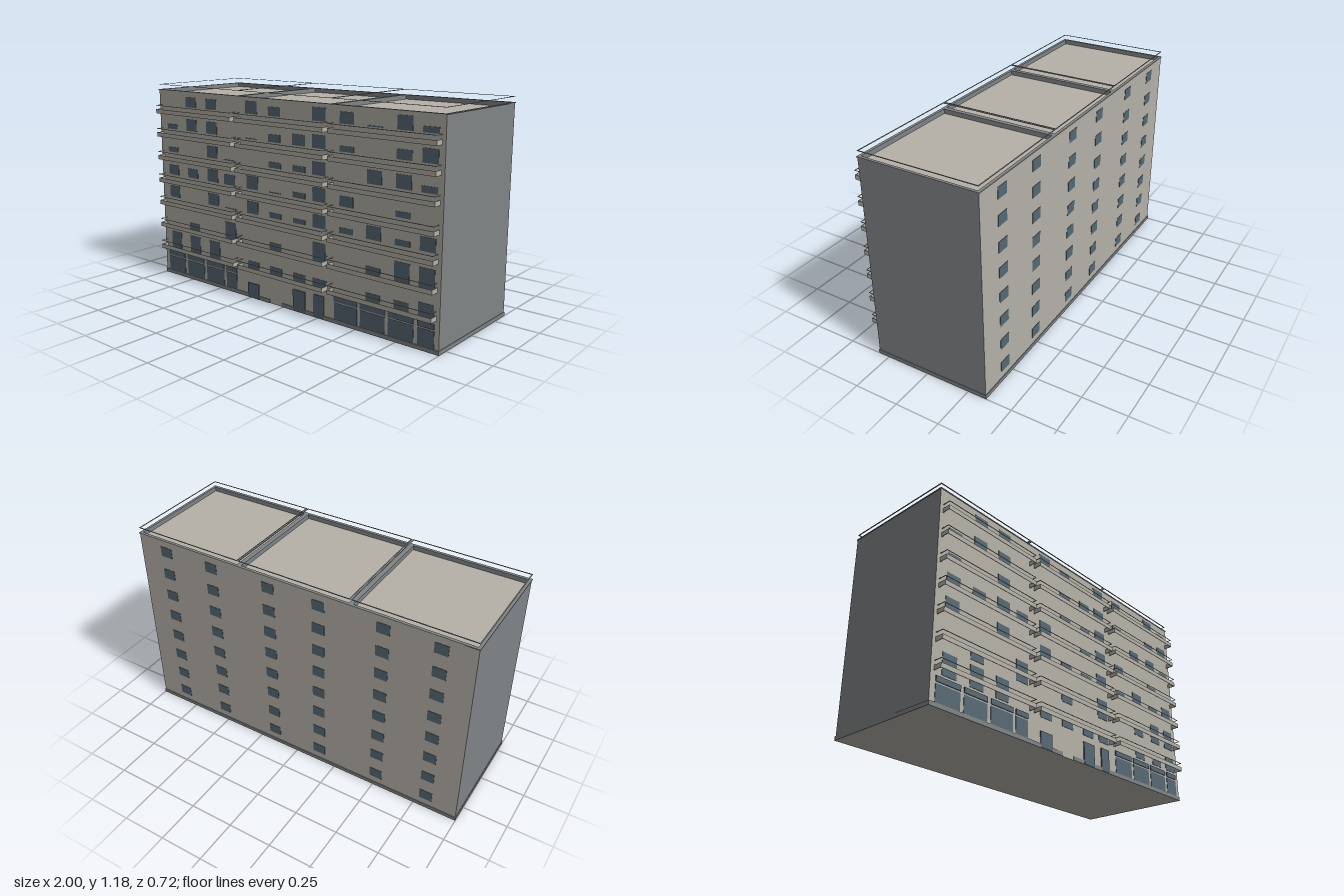
import * as THREE from 'three';

const mat = (name, color) => {
  const m = new THREE.MeshStandardMaterial({ color });
  m.name = name;
  return m;
};

export function createModel() {
  const model = new THREE.Group();
  model.name = 'apartmentBlock';
  const wall = mat('wall beige', 0xb5b1a8);
  const grey = mat('side grey', 0x808486);
  const glass = mat('window blue', 0x566873);

  // box given by its limits on each axis
  const box = (parent, name, material, x0, x1, y0, y1, z0, z1) => {
    const mesh = new THREE.Mesh(new THREE.BoxGeometry(x1 - x0, y1 - y0, z1 - z0), material);
    mesh.position.set((x0 + x1) / 2, (y0 + y1) / 2, (z0 + z1) / 2);
    mesh.name = name;
    parent.add(mesh);
    return mesh;
  };
  const group = (name) => {
    const g = new THREE.Group();
    g.name = name;
    model.add(g);
    return g;
  };

  const W = 0.997, FRONT = 0.3125, BACK = -0.3525, ROOF = 1.125, TOP = 1.145;

  // main block: grey gable ends, beige elsewhere
  box(model, 'body', [grey, grey, wall, wall, wall, wall], -W, W, 0, ROOF, BACK, FRONT);

  // parapet walls, with grey inner faces, and a thin cap
  const parapet = group('parapet');
  const p = 0.0125;
  box(parapet, 'frontParapet', [grey, grey, grey, grey, wall, grey], -W, W, ROOF, TOP, FRONT - p, FRONT);
  box(parapet, 'backParapet', [grey, grey, grey, grey, grey, wall], -W, W, ROOF, TOP, BACK, BACK + p);
  box(parapet, 'frontCap', [grey, grey, grey, grey, wall, grey], -1, 1, TOP, 1.15, FRONT - p, FRONT + 0.004);
  box(parapet, 'backCap', [grey, grey, grey, grey, grey, wall], -1, 1, TOP, 1.15, BACK - 0.004, BACK + p);
  for (const [x0, x1] of [[-1, -0.985], [-0.345, -0.32], [0.32, 0.345], [0.985, 1]]) {
    box(parapet, 'crossParapet', grey, Math.max(x0, -W), Math.min(x1, W), ROOF, TOP, BACK + p, FRONT - p);
    box(parapet, 'crossCap', grey, x0, x1, TOP, 1.15, BACK + p, FRONT - p);
  }

  // flat roof rails floating over the parapet of each section
  const rails = group('roofRails');
  const r = 0.006, ry = 1.178;
  for (const [x0, x1] of [[-W, -0.335], [-0.33, 0.33], [0.335, W]]) {
    for (const z of [BACK, FRONT - r]) box(rails, 'roofRail', grey, x0, x1, ry, ry + 0.002, z, z + r);
    for (const x of [x0, x1 - r]) box(rails, 'roofRail', grey, x, x + r, ry, ry + 0.002, BACK + r, FRONT - r);
  }

  // plinth, open at the middle entrance
  const plinth = group('plinth');
  box(plinth, 'backPlinth', grey, -1, 1, 0, 0.022, BACK - 0.004, BACK);
  box(plinth, 'frontPlinth', grey, -1, -0.1, 0, 0.022, FRONT, FRONT + 0.004);
  box(plinth, 'frontPlinth', grey, -0.01, 1, 0, 0.022, FRONT, FRONT + 0.004);
  for (const s of [-1, 1]) {
    box(plinth, 'sidePlinth', grey, Math.min(s * W, s), Math.max(s * W, s), 0, 0.022, BACK, FRONT);
  }

  // balconies: open-bottomed parapet ring with a thin rail above
  const balconies = group('balconies');
  const t = 0.003, OUT = 0.36;
  for (let floor = 0; floor < 7; floor++) {
    const y = 0.17 + 0.14 * floor;
    for (const cx of [-0.663, 0, 0.663]) {
      const a = cx - 0.315, b = cx + 0.315;
      for (const [name, y0, y1] of [['balconyPanel', y, y + 0.025], ['balconyRail', y + 0.046, y + 0.049]]) {
        box(balconies, name, wall, a, b, y0, y1, OUT - t, OUT);
        box(balconies, name, wall, a, a + t, y0, y1, FRONT, OUT - t);
        box(balconies, name, wall, b - t, b, y0, y1, FRONT, OUT - t);
      }
    }
  }

  // front windows: heights above the rail in hundredths, -1 for none, lowest floor first
  const columns = [-0.888, -0.717, -0.545, -0.406, -0.225, -0.053, 0.12, 0.257, 0.436, 0.607, 0.778, 0.92];
  const heights = [
    [6, 6, 6, -1, 0, 0, 0, 0, -1, 0, 0, 2.5],
    [-1, 0, -1, 6, -1, 0, -1, 6, -1, 0, 6, 6],
    [7, -1, 7, 0.5, 7, 3, 2.5, 7, 3, 7, 3, 7],
    [6, 5.5, 7.5, 6, 7.5, 0.6, 3, 7.5, 5.5, -1, 3, -1],
    [3, -1, 7, 0.7, -1, 3.3, 3.3, 7, -1, 7, 7, 3.3],
    [3, 7, 7, -1, 0.6, 4.3, 6, 7, 3, -1, 5, 7],
    [-1, 6, 6, -1, 7, 5, -1, 7, 6, 0.6, 7, 3],
  ];
  const frontWindows = group('frontWindows');
  const pane = (x0, x1, y0, y1) => box(frontWindows, 'frontWindow', glass, x0, x1, y0, y1, FRONT, FRONT + 0.002);
  heights.forEach((row, floor) => row.forEach((h, i) => {
    if (h < 0) return;
    const rail = 0.218 + 0.14 * floor;
    const sill = floor < 2 ? rail - 0.055 : rail;
    pane(columns[i] - 0.044, columns[i] + 0.044, sill, rail + h / 100);
  }));

  // shop windows with a projecting strip above, then the entrance doors
  const shops = [[-0.965, -0.815], [-0.793, -0.643], [-0.62, -0.47], [-0.45, -0.362],
    [0.36, 0.51], [0.53, 0.683], [0.703, 0.853], [0.875, 0.97]];
  for (const [x0, x1] of shops) {
    pane(x0, x1, 0.022, 0.114).name = 'shopWindow';
    box(frontWindows, 'shopTransom', glass, x0, x1, 0.122, 0.15, FRONT, FRONT + 0.005);
  }
  for (const [x0, x1, h] of [[-0.27, -0.183, 0.088], [0.075, 0.163, 0.125], [0.225, 0.293, 0.13]]) {
    box(frontWindows, 'door', glass, x0, x1, 0.003, h, FRONT, FRONT + 0.006);
  }

  // back windows in a regular grid
  const backWindows = group('backWindows');
  for (let floor = 0; floor < 8; floor++) {
    const y = 0.09 + 0.141 * floor;
    for (const x of [-0.818, -0.515, -0.151, 0.151, 0.515, 0.818]) {
      box(backWindows, 'backWindow', glass, x - 0.037, x + 0.037, y - 0.03, y + 0.03, BACK - 0.002, BACK);
    }
  }
  return model;
}
